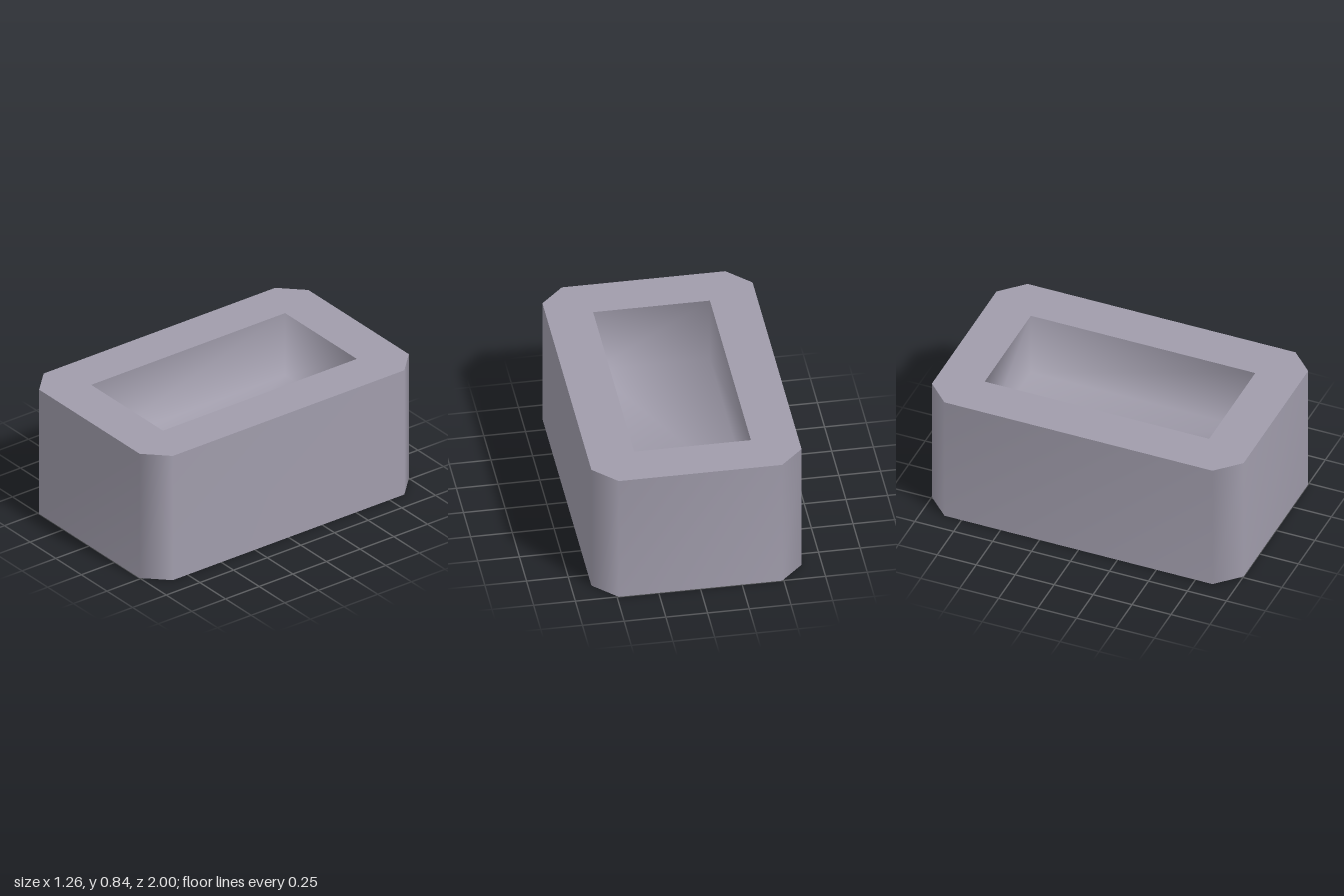
import * as THREE from 'three';

const HEIGHT = 0.84, FLOOR = 0.42;

// Plan outlines, counter-clockwise from above (plan y points to the back)
const OUTER = [[-0.49, -1], [0.49, -1], [0.63, -0.86], [0.63, 0.86], [0.49, 1], [-0.49, 1], [-0.63, 0.86], [-0.63, -0.86]];
const INNER = [[-0.35, -0.72], [0.35, -0.72], [0.35, 0.72], [-0.35, 0.72]];

const toPoints = (loop) => loop.map(([x, y]) => new THREE.Vector2(x, y));

// Upright band around an outline with shared vertices, so it shades smoothly;
// a clockwise outline faces inward and may be closed with a floor.
function band(loop, y0, y1, withFloor = false) {
  const n = loop.length, positions = [], index = [];
  for (const y of [y0, y1]) for (const [x, p] of loop) positions.push(x, y, -p);
  for (let i = 0; i < n; i++) {
    const j = (i + 1) % n;
    index.push(i, j, n + j, i, n + j, n + i);
  }
  if (withFloor) for (let i = 1; i < n - 1; i++) index.push(0, i + 1, i);
  const geometry = new THREE.BufferGeometry();
  geometry.setAttribute('position', new THREE.Float32BufferAttribute(positions, 3));
  geometry.setIndex(index);
  geometry.computeVertexNormals();
  return geometry;
}

export function createModel() {
  const group = new THREE.Group();
  group.name = 'trough';
  const stone = new THREE.MeshStandardMaterial({ color: 0xa09cab });
  stone.name = 'greyStone';

  const add = (name, geometry) => {
    const mesh = new THREE.Mesh(geometry, stone);
    mesh.name = name;
    group.add(mesh);
  };

  // Outer walls with bevelled corners
  add('outerWalls', band(OUTER, 0, HEIGHT));

  // Flat rim around the opening
  const rim = new THREE.Shape(toPoints(OUTER));
  rim.holes.push(new THREE.Path(toPoints(INNER)));
  add('rim', new THREE.ShapeGeometry(rim).rotateX(-Math.PI / 2).translate(0, HEIGHT, 0));

  // Softly shaded basin: inner walls and floor
  add('basin', band([...INNER].reverse(), FLOOR, HEIGHT, true));

  // Underside
  add('underside', new THREE.ShapeGeometry(new THREE.Shape(toPoints(OUTER))).rotateX(Math.PI / 2));

  return group;
}
